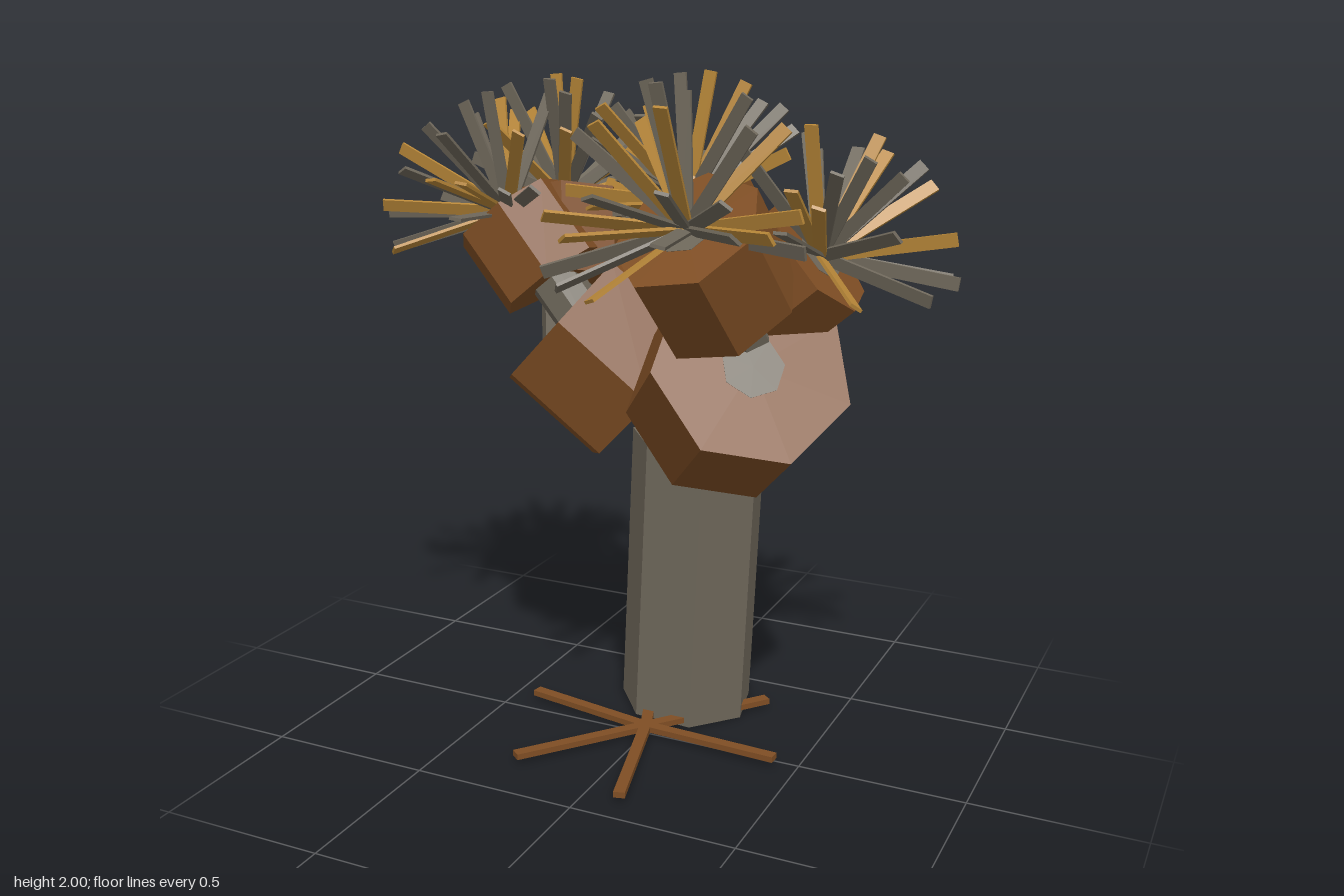
import * as THREE from 'three';

const flat = (name, color) => {
  const m = new THREE.MeshStandardMaterial({ color, flatShading: true });
  m.name = name;
  return m;
};
const UP = new THREE.Vector3(0, 1, 0);
const vec = (a) => new THREE.Vector3(...a);

export function createModel() {
  const model = new THREE.Group();
  model.name = 'tree';
  const barkGrey = flat('barkGrey', 0x6e675a);
  const podBrown = flat('podBrown', 0x7f4e24);
  const leafGold = flat('leafGold', 0xb88738);

  // place a Y-aligned mesh so that it ends at tip, pointing along dir
  function aim(geometry, material, name, tip, dir, length, parent = model) {
    const mesh = new THREE.Mesh(geometry, material);
    mesh.name = name;
    mesh.quaternion.setFromUnitVectors(UP, dir);
    mesh.position.copy(tip).addScaledVector(dir, -length / 2);
    parent.add(mesh);
    return mesh;
  }

  // seven-sided prism, turned about its own axis
  function prism(radius, length, material, name, tip, dir, parent, turn = Math.PI) {
    const g = new THREE.CylinderGeometry(radius, radius, length, 7).rotateY(turn);
    return aim(g, material, name, tip, dir, length, parent);
  }

  // trunk, leaning slightly to its left
  const trunkTop = vec([0.057, 0.9, -0.27]);
  const trunkDir = trunkTop.clone().sub(vec([0.02, 0.01, -0.27])).normalize();
  prism(0.21, 0.89, barkGrey, 'trunk', trunkTop, trunkDir);

  // roots: flat bars in an uneven star
  for (const degrees of [15, 87, 141, 200, 260, 321]) {
    const a = THREE.MathUtils.degToRad(degrees);
    const root = new THREE.Mesh(new THREE.BoxGeometry(0.034, 0.018, 0.43), podBrown);
    root.name = 'root';
    root.position.set(0.003 + Math.sin(a) * 0.215, 0.028, 0.005 + Math.cos(a) * 0.215);
    root.rotation.y = a;
    model.add(root);
  }

  // limb: thin grey branch wrapped near its end by a thick brown pod
  function limb(tip, dir, branch, pod, label) {
    const group = new THREE.Group();
    group.name = label;
    prism(branch.r, branch.l, barkGrey, 'branch', tip.clone().addScaledVector(dir, 0.001), dir, group);
    prism(pod.r, pod.l, podBrown, 'pod', tip, dir, group, pod.turn);
    model.add(group);
  }

  // three main limbs growing from the trunk top
  const mainLimbs = [
    { tip: [0.385, 1.235, 0.14], r: 0.285, l: 0.35, turn: 0 },
    { tip: [-0.335, 1.265, -0.15], r: 0.285, l: 0.35 },
    { tip: [0.28, 1.4, -0.235], r: 0.245, l: 0.35 },
  ];
  for (const { tip, r, l, turn } of mainLimbs) {
    const t = vec(tip);
    const d = t.clone().sub(trunkTop);
    const length = d.length() + 0.04;
    limb(t, d.normalize(), { r: 0.09, l: length }, { r, l, turn }, 'mainLimb');
  }

  // fan of thin straight leaves of uneven length around an axis
  function leafBurst(tip, axis, seed) {
    const group = new THREE.Group();
    group.name = 'leafBurst';
    const turn = new THREE.Quaternion().setFromUnitVectors(UP, axis);
    const count = 26;
    for (let i = 0; i < count; i++) {
      const c = 0.97 - (i / count) * 0.95;
      const s = Math.sqrt(1 - c * c);
      const a = i * 2.39996 + seed + 0.35 * Math.sin(i * 5.3 + seed);
      const d = new THREE.Vector3(s * Math.cos(a), c, s * Math.sin(a)).applyQuaternion(turn);
      if (d.y < -0.45) continue;
      const length = 0.35 + 0.01 * ((i * 7) % 5);
      aim(new THREE.BoxGeometry(0.037, length, 0.009), (i * 3) % 7 < 4 ? barkGrey : leafGold, 'leaf',
        tip.clone().addScaledVector(d, length), d, length, group);
    }
    model.add(group);
  }

  // five upper limbs, each ending in a leaf burst
  const upperLimbs = [
    { tip: [0.265, 1.62, 0.32], dir: [-0.15, 0.78, 0.62], fan: [0, 0.5, 0.86], r: 0.21, l: 0.28 },
    { tip: [0.49, 1.51, -0.08], dir: [0.76, 0.65, 0], fan: [0.8, 0.6, 0], r: 0.185, l: 0.25 },
    { tip: [0.06, 1.62, -0.15], dir: [-0.45, 0.85, 0.1], fan: [-0.4, 0.9, 0.1], r: 0.2, l: 0.28 },
    { tip: [-0.42, 1.59, -0.3], dir: [-0.2, 0.9, -0.35], fan: [-0.15, 0.75, -0.6], r: 0.195, l: 0.27 },
    { tip: [-0.51, 1.57, -0.11], dir: [-0.6, 0.74, 0], fan: [-0.65, 0.55, 0.5], r: 0.18, l: 0.25 },
  ];
  upperLimbs.forEach(({ tip, dir, fan, r, l }, i) => {
    const t = vec(tip);
    limb(t, vec(dir).normalize(), { r: 0.08, l: 0.46 }, { r, l }, 'upperLimb');
    leafBurst(t, vec(fan).normalize(), i * 1.3 + 0.4);
  });

  return model;
}
